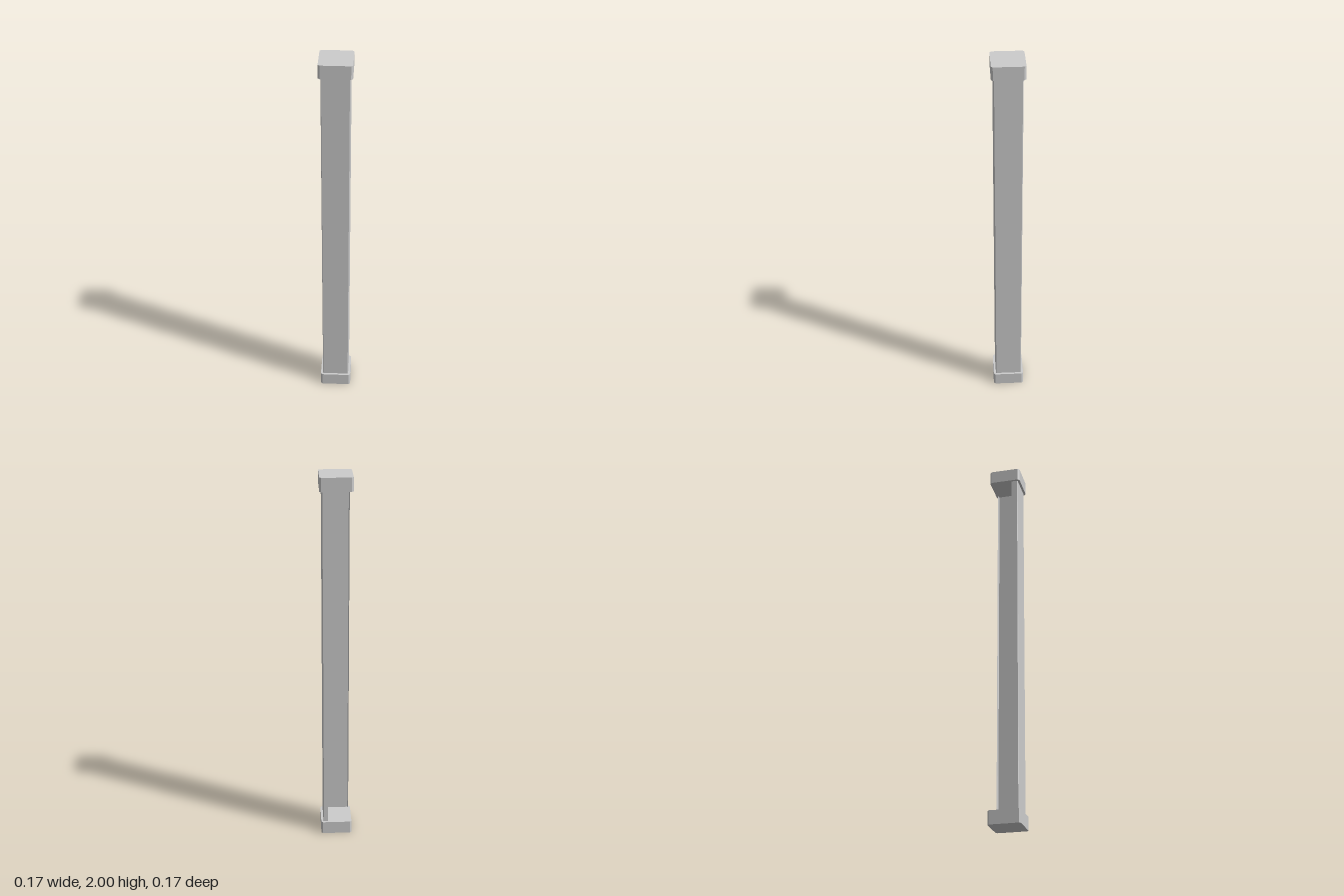
import * as THREE from 'three';

const H = 2, CAP_H = 0.07, CAP = 0.083, POST = 0.071;

// Square block with small chamfers on its four upright edges
function capGeometry() {
  const c = 0.009, a = CAP, b = CAP - c;
  const outline = [[a, -b], [a, b], [b, a], [-b, a], [-a, b], [-a, -b], [-b, -a], [b, -a]];
  const shape = new THREE.Shape(outline.map(([x, y]) => new THREE.Vector2(x, y)));
  const geo = new THREE.ExtrudeGeometry(shape, { depth: CAP_H, bevelEnabled: false });
  return geo.rotateX(-Math.PI / 2);
}

// Thin upright sheet following an open path of [x, z] points
function sheetGeometry(path, y0, y1) {
  const pos = [];
  for (let i = 0; i < path.length - 1; i++) {
    const [ax, az] = path[i], [bx, bz] = path[i + 1];
    pos.push(ax, y0, az, bx, y0, bz, bx, y1, bz);
    pos.push(ax, y0, az, bx, y1, bz, ax, y1, az);
  }
  const geo = new THREE.BufferGeometry();
  geo.setAttribute('position', new THREE.Float32BufferAttribute(pos, 3));
  geo.computeVertexNormals();
  return geo;
}

export function createModel() {
  const group = new THREE.Group();
  group.name = 'post';
  const solid = new THREE.MeshStandardMaterial({ color: 0xcccccc });
  const sheet = new THREE.MeshStandardMaterial({ color: 0xcccccc, side: THREE.DoubleSide });

  const add = (name, geo, mat, y = 0) => {
    const mesh = new THREE.Mesh(geo, mat);
    mesh.name = name;
    mesh.position.y = y;
    group.add(mesh);
  };

  // Blocks at the foot and the head
  const cap = capGeometry();
  add('baseBlock', cap, solid);
  add('topBlock', cap, solid, H - CAP_H);

  // Angle-shaped shaft: front and +x walls, each ending in a narrow return lip
  const p = POST, q = POST - 0.003;
  const path = [
    [-p, p - 0.033], [-p, q], [-q, p],
    [q, p], [p, q],
    [p, -q], [q, -p], [p - 0.024, -p],
  ];
  add('shaft', sheetGeometry(path, CAP_H, H - CAP_H), sheet);
  return group;
}
